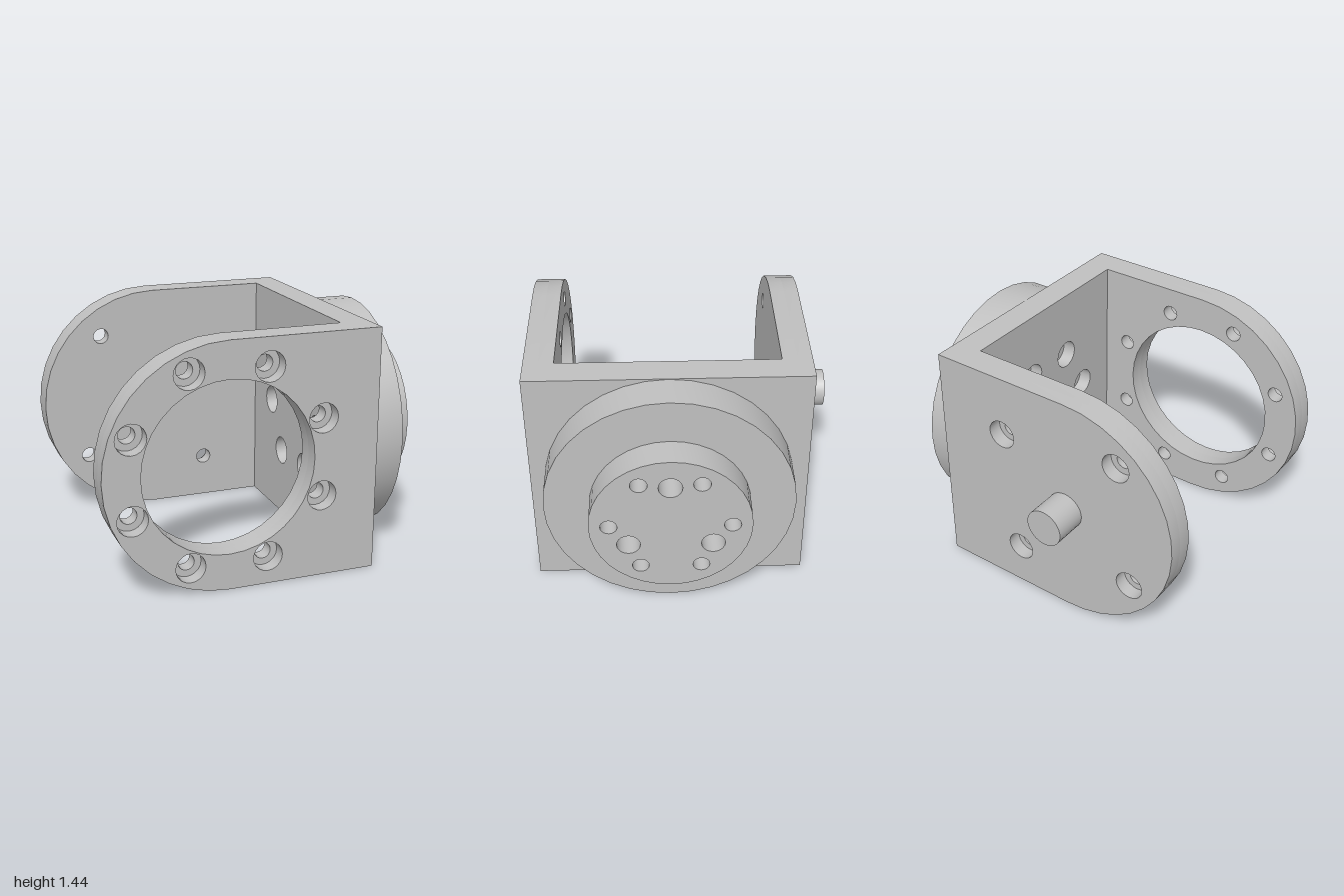
import * as THREE from 'three';
import { toCreasedNormals } from 'three/addons/utils/BufferGeometryUtils.js';

const CY = 0.72;    // shared axis height
const AX = -0.282;  // x of the arm bores
const FZ = 0.103;   // z of the output flange axis

const arc = (cx, cy, r, n, from = 0, sweep = Math.PI * 2) => {
  const count = sweep < 6 ? n + 1 : n;
  return Array.from({ length: count }, (_, i) => {
    const a = from + (sweep * i) / n;
    return new THREE.Vector2(cx + r * Math.cos(a), cy + r * Math.sin(a));
  });
};

// Centres of holes spaced evenly on a bolt circle
const boltCircle = (cx, cy, r, n, startDeg) =>
  arc(cx, cy, r, n, THREE.MathUtils.degToRad(startDeg));

const holesAt = (centres, r) => centres.map((c) => arc(c.x, c.y, r, 20));

export function createModel() {
  const model = new THREE.Group();
  model.name = 'jointBracket';
  const metal = new THREE.MeshStandardMaterial({ color: 0xc0c0c0 });
  metal.name = 'grey metal';

  // Extrudes an outline with holes from a to b, along z or along x
  const plate = (name, outline, holes, a, b, alongX = false) => {
    const shape = new THREE.Shape(outline);
    shape.holes = holes.map((h) => new THREE.Path(h));
    let geo = new THREE.ExtrudeGeometry(shape, { depth: b - a, bevelEnabled: false });
    geo.translate(0, 0, a);
    if (alongX) geo.rotateY(Math.PI / 2); // shape x becomes -z
    geo = toCreasedNormals(geo, 0.6);
    const mesh = new THREE.Mesh(geo, metal);
    mesh.name = name;
    model.add(mesh);
  };

  // Round-ended arm outline
  const arm = [
    new THREE.Vector2(0.61, 0),
    new THREE.Vector2(0.61, 1.44),
    ...arc(AX, CY, 0.72, 18, Math.PI / 2, Math.PI),
  ];

  // Front arm: large bore and eight counterbored bolt holes
  const bore = arc(AX, CY, 0.505, 36);
  const frontBolts = boltCircle(AX, CY, 0.6, 8, 22.5);
  plate('frontArmInner', arm, [bore, ...holesAt(frontBolts, 0.048)], 0.733, 0.82);
  plate('frontArmOuter', arm, [bore, ...holesAt(frontBolts, 0.088)], 0.82, 0.905);

  // Back arm: four counterbored bolt holes opening to the rear
  const backBolts = boltCircle(AX, CY, 0.563, 4, 37.6);
  plate('backArmOuter', arm, holesAt(backBolts, 0.088), -0.705, -0.62);
  plate('backArmInner', arm, holesAt(backBolts, 0.048), -0.62, -0.533);

  // Pivot pin on the back arm
  const pin = new THREE.Mesh(new THREE.CylinderGeometry(0.115, 0.115, 0.2, 32), metal);
  pin.name = 'pivotPin';
  pin.rotation.x = Math.PI / 2;
  pin.position.set(AX, CY, -0.805);
  model.add(pin);

  // Web joining the arms, counterbored on its inner side
  const web = [[-0.733, 0], [0.533, 0], [0.533, 1.44], [-0.733, 1.44]]
    .map(([u, v]) => new THREE.Vector2(u, v));
  const hubBolts = boltCircle(-FZ, CY, 0.345, 6, 0);
  const through = holesAt(hubBolts, 0.048);
  plate('webInner', web, holesAt(hubBolts, 0.088), 0.44, 0.525, true);
  plate('webOuter', web, through, 0.525, 0.61, true);

  // Output flange and hub, with three blind dowel holes in the hub
  const dowels = boltCircle(-FZ, CY + 0.002, 0.275, 3, 90);
  plate('flange', arc(-FZ, CY, 0.717, 36), through, 0.61, 0.823, true);
  plate('hub', arc(-FZ, CY, 0.458, 36), [...through, ...holesAt(dowels, 0.067)], 0.823, 1.0, true);

  return model;
}
